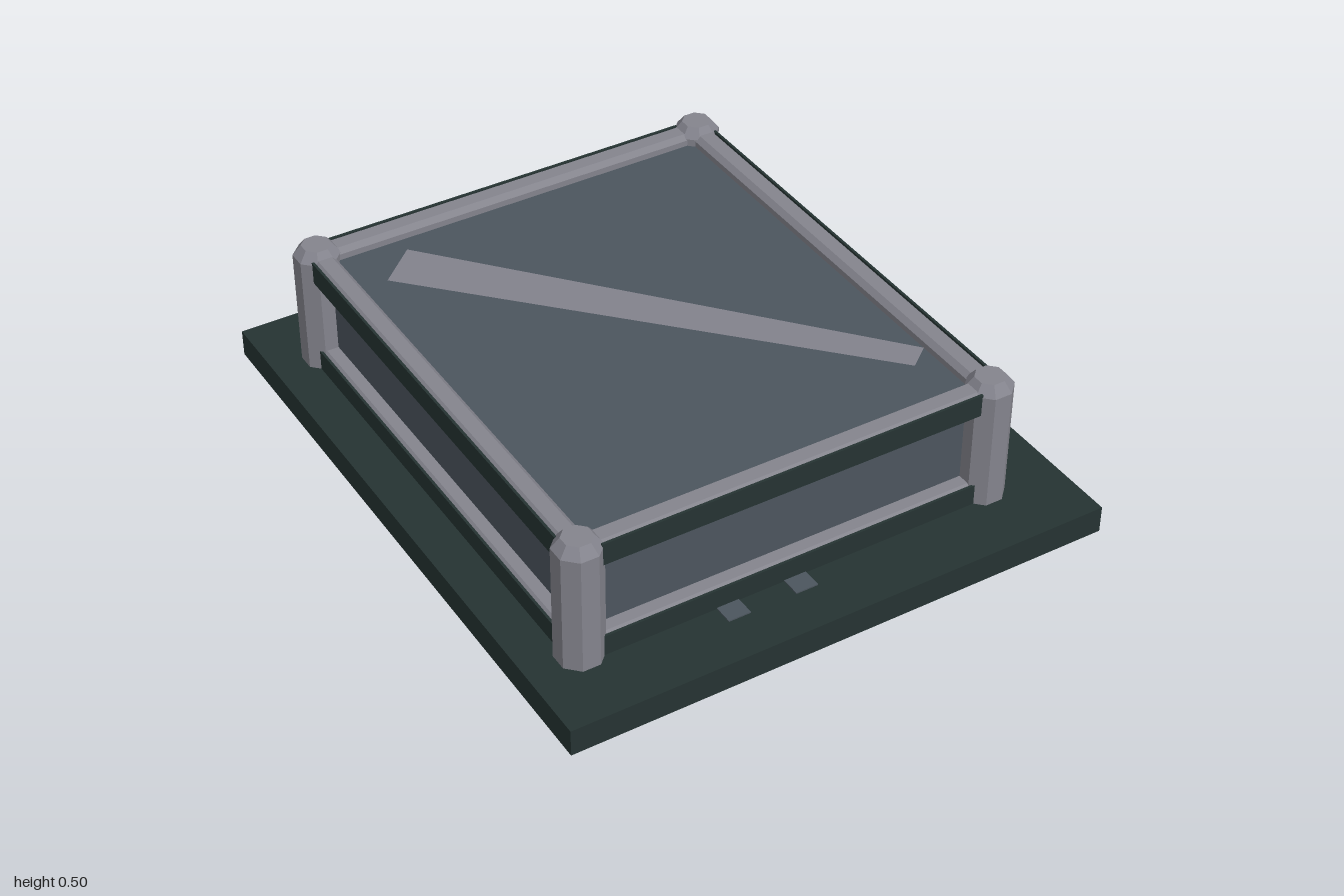
import * as THREE from 'three';

const mat = (name, color, side = THREE.FrontSide) => {
  const m = new THREE.MeshStandardMaterial({ color, side });
  m.name = name;
  return m;
};

export function createModel() {
  const green = mat('dark green', 0x253332);
  const grey = mat('frame grey', 0x84848d);
  grey.flatShading = true;
  const glass = mat('smoky glass', 0x4c555e);
  const black = mat('underside black', 0x202a2a);
  const red = mat('dark red', 0x781515);
  const stripeGrey = mat('stripe grey', 0x82828c, THREE.DoubleSide);

  const root = new THREE.Group();
  root.name = 'displayCase';
  const add = (name, geo, m, x = 0, y = 0, z = 0, parent = root) => {
    const mesh = new THREE.Mesh(geo, m);
    mesh.name = name;
    mesh.position.set(x, y, z);
    parent.add(mesh);
    return mesh;
  };
  const box = (w, h, d) => new THREE.BoxGeometry(w, h, d);

  // Base plate: a shallow tray open underneath
  add('basePlate', box(1.71, 0.012, 2), green, 0, 0.089, 0);
  for (const s of [-1, 1]) {
    add('baseSideWall', box(0.008, 0.075, 2), green, s * 0.851, 0.0475, 0);
    add('baseEndWall', box(1.71, 0.075, 0.008), green, 0, 0.0475, s * 0.996);
  }

  // The case sits slightly to one side of the base
  const frame = new THREE.Group();
  frame.name = 'caseFrame';
  frame.position.x = -0.04;
  root.add(frame);
  const hx = 0.65, hz = 0.76;

  // Glass body
  add('glassBox', box(2 * hx - 0.03, 0.345, 2 * hz - 0.03), glass, 0, 0.2725, 0, frame);

  // Eight-sided corner posts with chamfered ends
  const postProfile = [[0, 0.06], [0.042, 0.06], [0.071, 0.095], [0.071, 0.468], [0.045, 0.5], [0, 0.5]]
    .map(([r, y]) => new THREE.Vector2(r, y));
  const postGeo = new THREE.LatheGeometry(postProfile, 8, Math.PI / 8);
  for (const sx of [-1, 1]) for (const sz of [-1, 1])
    add('cornerPost', postGeo, grey, sx * hx, 0, sz * hz, frame);

  // Bevelled rails, each with a dark strip on its outer face
  const railGeo = (len) => {
    const a = 0.0375, b = 0.022;
    const s = new THREE.Shape([[a, -b], [a, b], [b, a], [-b, a], [-a, b], [-a, -b], [-b, -a], [b, -a]]
      .map(([x, y]) => new THREE.Vector2(x, y)));
    return new THREE.ExtrudeGeometry(s, { depth: len, bevelEnabled: false }).translate(0, 0, -len / 2);
  };
  const makeRail = (len, dist, y, turn) => {
    const g = new THREE.Group();
    g.name = 'rail';
    g.rotation.y = turn;
    frame.add(g);
    add('railBar', railGeo(len), grey, dist, y, 0, g);
    add('railStrip', box(0.008, 0.07, len), green, dist + 0.036, y, 0, g);
  };
  for (const y of [0.125, 0.442]) for (const k of [0, 1]) {
    makeRail(2 * hz - 0.1, hx, y, k * Math.PI);
    makeRail(2 * hx - 0.1, hz, y, Math.PI / 2 + k * Math.PI);
  }

  // Tapered diagonal stripe on the lid
  const stripe = new THREE.Shape([[-0.565, 0.555], [0.5, -0.565], [0.57, -0.51], [-0.445, 0.665]]
    .map(([x, y]) => new THREE.Vector2(x, y)));
  add('lidStripe', new THREE.ShapeGeometry(stripe).rotateX(-Math.PI / 2), stripeGrey, 0, 0.449, 0);

  // Small markers on the base
  for (const [x, z] of [[0.68, 0.17], [0.68, 0.53], [0.68, 0.675], [-0.255, 0.825], [-0.04, 0.825]])
    add('baseMarker', box(0.07, 0.006, 0.07), glass, x, 0.096, z);

  // Underside: dark disc, shallow red dome and a small point
  add('undersideDisc', new THREE.CylinderGeometry(0.6, 0.6, 0.008, 48), black, -0.04, 0.08, 0);
  add('redDome', new THREE.SphereGeometry(0.255, 40, 10, 0, Math.PI * 2, Math.PI / 2, Math.PI / 2)
    .scale(1, 0.28, 1), red, -0.04, 0.077, -0.2);
  add('undersidePoint', new THREE.ConeGeometry(0.12, 0.077, 8).rotateX(Math.PI), black, -0.04, 0.0385, 0.07);
  return root;
}
